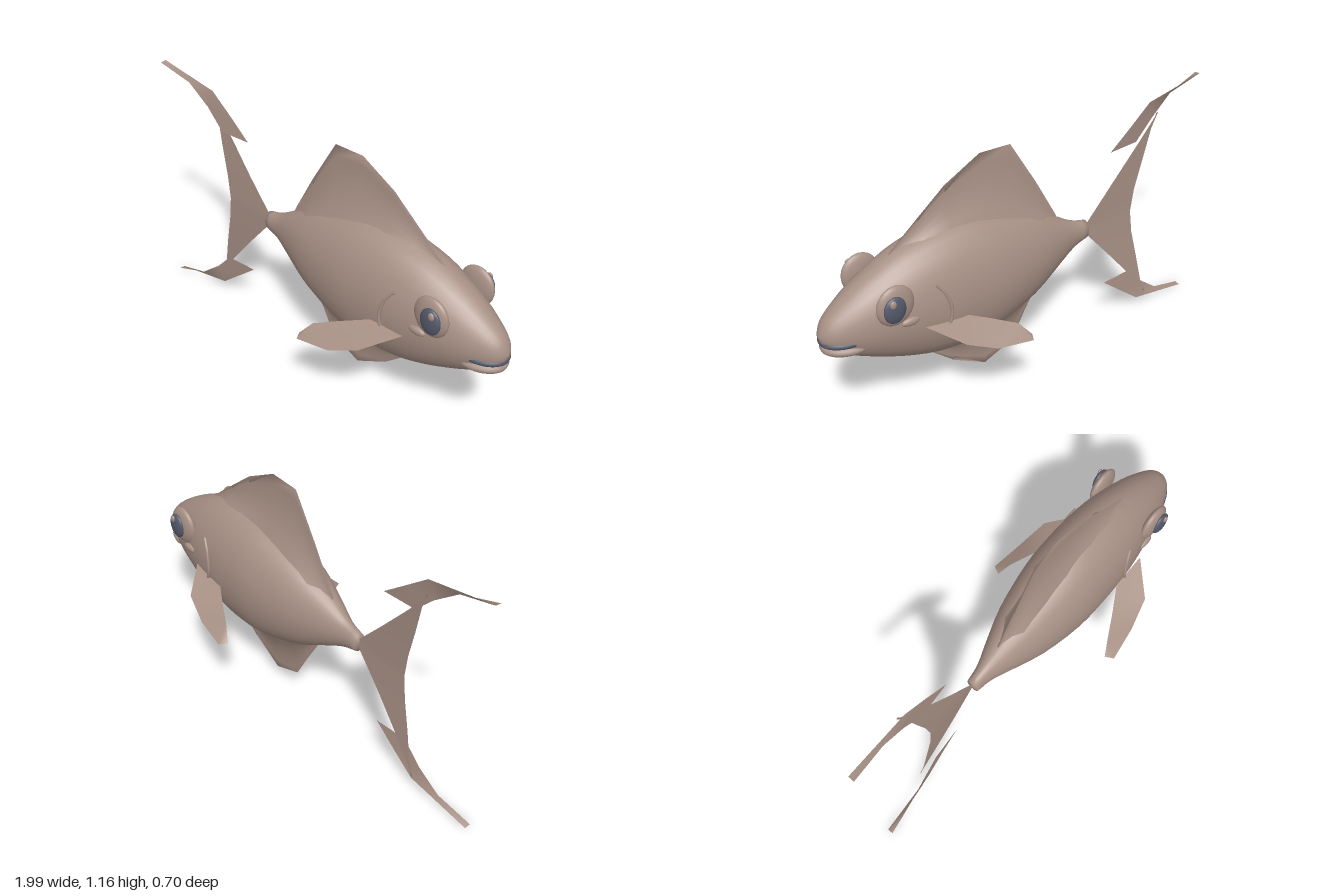
import * as THREE from 'three';

const V = (p) => new THREE.Vector3(...p);
const MID = -0.015; // z of the body's middle plane

const skin = new THREE.MeshStandardMaterial({ color: 0xa89186, side: THREE.DoubleSide });
skin.name = 'skin';
const dark = new THREE.MeshStandardMaterial({ color: 0x555a6b });
dark.name = 'dark slate';

// Surface through rows of points; wrap closes each row into a ring
function loft(rows, wrap = false) {
  const n = rows[0].length;
  const index = [];
  for (let i = 0; i < rows.length - 1; i++) {
    for (let j = 0; j < (wrap ? n : n - 1); j++) {
      const k = (j + 1) % n;
      const a = i * n + j, b = i * n + k, c = a + n, d = b + n;
      index.push(a, b, c, b, d, c);
    }
  }
  const g = new THREE.BufferGeometry();
  g.setAttribute('position', new THREE.Float32BufferAttribute(rows.flat(2), 3));
  g.setIndex(index);
  g.computeVertexNormals();
  return g;
}

function add(parent, name, geometry, material) {
  const m = new THREE.Mesh(geometry, material);
  m.name = name;
  parent.add(m);
  return m;
}

function ellipsoid(parent, name, material, pos, radii) {
  const m = add(parent, name, new THREE.SphereGeometry(1, 24, 16), material);
  m.position.set(...pos);
  m.scale.set(...radii);
  return m;
}

// Body stations: x, top, bottom, half width
const stations = [
  [-0.34, 0.63, 0.54, 0.03], [-0.26, 0.655, 0.515, 0.043], [-0.16, 0.715, 0.46, 0.08],
  [0, 0.80, 0.37, 0.135], [0.2, 0.865, 0.3, 0.172], [0.35, 0.885, 0.282, 0.178],
  [0.5, 0.873, 0.295, 0.175], [0.65, 0.832, 0.34, 0.158], [0.8, 0.757, 0.405, 0.125],
  [0.9, 0.69, 0.458, 0.09], [0.96, 0.64, 0.5, 0.058], [0.988, 0.595, 0.54, 0.025],
];

function bodyGeometry() {
  const heights = new THREE.CatmullRomCurve3(stations.map((s) => V([s[0], s[1], s[2]])), false, 'catmullrom');
  const widths = new THREE.CatmullRomCurve3(stations.map((s) => V([s[0], s[3], 0])), false, 'catmullrom');
  const ring = (x, cy, h, w) => Array.from({ length: 28 }, (_, j) => {
    const a = (j / 28) * Math.PI * 2;
    return [x, cy + h * Math.cos(a), MID + w * Math.sin(a)];
  });
  const rows = [ring(-0.345, 0.585, 0, 0)];
  for (let i = 0; i <= 33; i++) {
    const p = heights.getPoint(i / 33), w = widths.getPoint(i / 33).y;
    rows.push(ring(p.x, (p.y + p.z) / 2, (p.y - p.z) / 2, w));
  }
  rows.push(ring(0.994, 0.57, 0, 0));
  return loft(rows, true);
}

// Thin fin standing on the body, flaring softly at its base
function bladeGeometry(base, edge, flare) {
  return loft(base.map((b, i) => {
    const e = edge[i];
    const end = i === 0 || i === base.length - 1;
    return Array.from({ length: 13 }, (_, j) => {
      const s = j / 6 - 1, h = 1 - Math.abs(s);
      const w = end ? 0.003 : flare * (1 - h) ** 2.5 + 0.003 * (1 - h);
      return [b[0] + (e[0] - b[0]) * h, b[1] + (e[1] - b[1]) * h, MID + Math.sign(s) * w];
    });
  }));
}

export function createModel() {
  const fish = new THREE.Group();
  fish.name = 'fish';
  add(fish, 'body', bodyGeometry(), skin);

  // Top and bottom fins
  add(fish, 'dorsalFin', bladeGeometry(
    [[-0.17, 0.69], [-0.06, 0.75], [0.07, 0.81], [0.22, 0.85], [0.39, 0.86], [0.52, 0.85], [0.66, 0.81]],
    [[-0.17, 0.72], [-0.06, 0.92], [0.07, 1.135], [0.22, 1.14], [0.39, 1.05], [0.52, 0.945], [0.66, 0.83]],
    0.05), skin);
  add(fish, 'ventralFin', bladeGeometry(
    [[-0.07, 0.43], [0, 0.39], [0.07, 0.36], [0.22, 0.31], [0.38, 0.3], [0.53, 0.32]],
    [[-0.07, 0.39], [0, 0.27], [0.07, 0.14], [0.22, 0.08], [0.38, 0.17], [0.53, 0.3]],
    0.05), skin);

  // Tail: a mirrored half sheet and a swept tip, above and below the root
  for (const s of [1, -1]) {
    const side = s > 0 ? 'upper' : 'lower';
    const flip = (rows) => rows.map((r) => r.map(([x, y, z]) => [x, 0.583 + s * (y - 0.583), z]));
    add(fish, side + 'TailFin', loft(flip([
      [[-0.33, 0.583, -0.018], [-0.61, 0.583, -0.015]],
      [[-0.345, 0.61, -0.018], [-0.625, 0.7, -0.017]],
      [[-0.47, 0.755, -0.021], [-0.66, 0.85, -0.024]],
      [[-0.62, 0.935, -0.029], [-0.69, 0.99, -0.032]],
      [[-0.72, 1.065, -0.037], [-0.71, 1.065, -0.037]],
    ])), skin);
    add(fish, side + 'TailTip', loft(flip([
      [[-0.47, 0.93, -0.017], [-0.63, 0.93, -0.004]],
      [[-0.58, 1.02, -0.016], [-0.72, 1.025, -0.002]],
      [[-0.69, 1.11, -0.012], [-0.83, 1.112, 0.008]],
      [[-1, 1.165, 0.002], [-1, 1.162, 0.03]],
    ])), skin);
  }

  // Paired parts on each flank
  for (const s of [1, -1]) {
    const side = s > 0 ? 'right' : 'left';
    const z = (v) => MID + s * v;
    const fin = [
      [[0.61, 0.55, 0.165], [0.44, 0.54, 0.165]],
      [[0.49, 0.483, 0.295], [0.33, 0.507, 0.23]],
      [[0.36, 0.425, 0.328], [0.23, 0.47, 0.285]],
      [[0.2, 0.41, 0.352], [0.18, 0.41, 0.315]],
    ].map((r) => r.map(([x, y, d]) => [x, y, -0.005 + s * d]));
    add(fish, side + 'PectoralFin', loft(fin), skin);

    const eye = new THREE.Group();
    eye.name = side + 'Eye';
    fish.add(eye);
    ellipsoid(eye, 'eyeball', skin, [0.722, 0.692, z(0.143)], [0.084, 0.091, 0.028]);
    ellipsoid(eye, 'iris', dark, [0.738, 0.692, z(0.17)], [0.049, 0.06, 0.018]);
    ellipsoid(eye, 'glint', skin, [0.75, 0.728, z(0.183)], [0.014, 0.018, 0.008]);
    ellipsoid(fish, side + 'CheekBump', skin, [0.664, 0.599, z(0.155)], [0.042, 0.019, 0.014]);

    // Gill crease following the flank
    const gill = new THREE.CatmullRomCurve3(
      [[0.54, 0.72, z(0.152)], [0.505, 0.67, z(0.168)], [0.487, 0.6, z(0.178)],
        [0.492, 0.55, z(0.178)], [0.525, 0.48, z(0.165)]].map(V));
    add(fish, side + 'Gill', new THREE.TubeGeometry(gill, 20, 0.007, 6), skin);
  }

  // Lips: rounded bars bent around the snout
  const lip = (name, material, tip, back, y, r) => {
    const rows = [];
    for (let i = 0; i <= 24; i++) {
      const a = (i / 24 - 0.5) * Math.PI;
      const k = Math.sqrt(Math.max(0, 1 - (Math.abs(i - 12) / 12) ** 6));
      rows.push(Array.from({ length: 12 }, (_, j) => {
        const b = (j / 12) * Math.PI * 2;
        const d = r * 1.1 * k * Math.cos(b);
        return [back + (tip - back + d) * Math.cos(a), y + r * k * Math.sin(b), MID + (0.083 + d) * Math.sin(a)];
      }));
    }
    add(fish, name, loft(rows, true), material);
  };
  lip('upperLip', dark, 0.975, 0.835, 0.54, 0.017);
  lip('lowerLip', skin, 0.965, 0.82, 0.506, 0.022);
  return fish;
}
